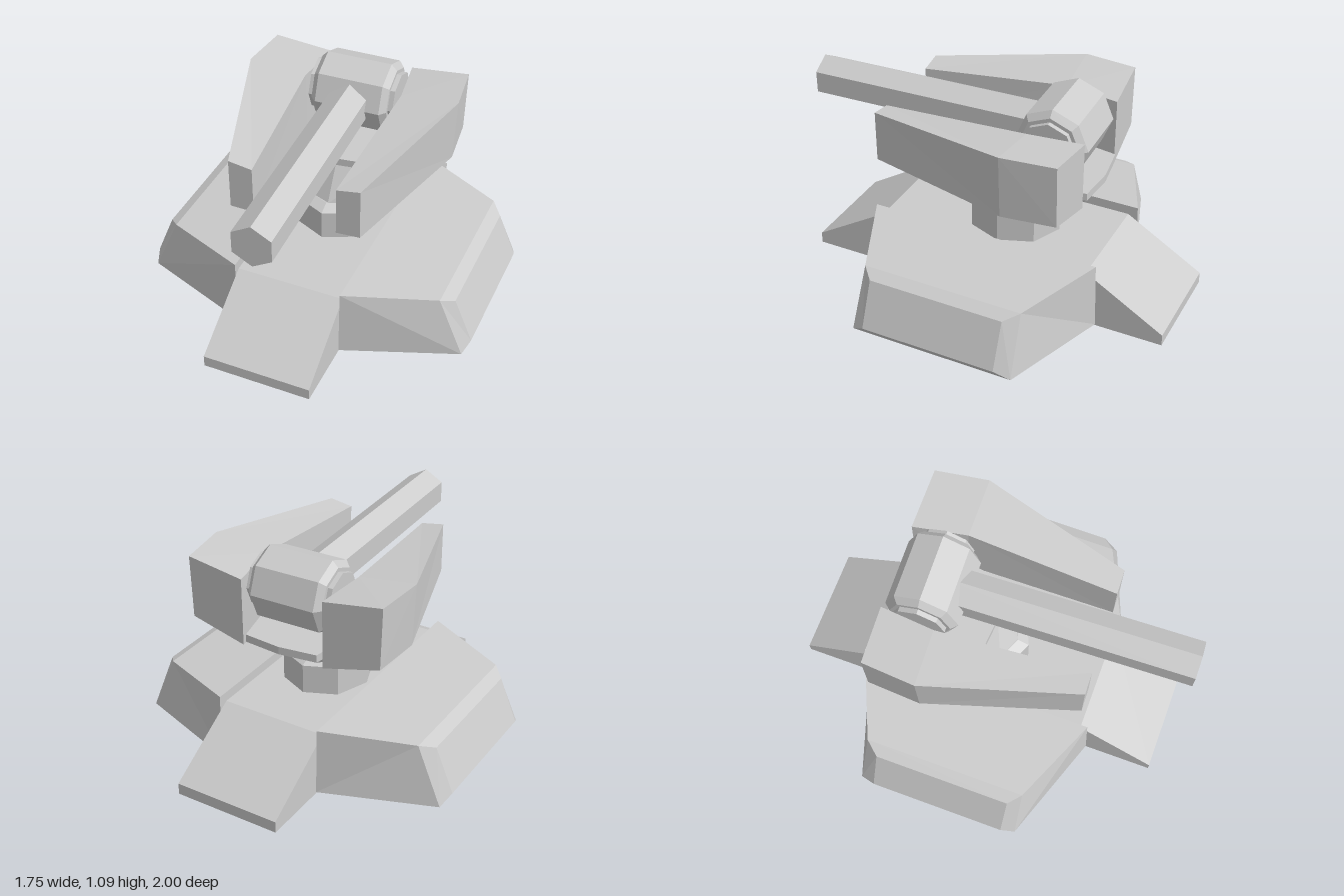
import * as THREE from 'three';

const material = new THREE.MeshStandardMaterial({ color: 0xcccccc, flatShading: true });

function part(name, geometry, parent) {
  const mesh = new THREE.Mesh(geometry, material);
  mesh.name = name;
  parent.add(mesh);
  return mesh;
}

// Closed faceted solid through rings of points (counterclockwise seen from the last ring)
function loft(rings) {
  const pos = [];
  const tri = (...pts) => pts.forEach((p) => pos.push(...p));
  const n = rings[0].length;
  for (let r = 0; r < rings.length - 1; r++) {
    const a = rings[r], b = rings[r + 1];
    for (let i = 0; i < n; i++) {
      const j = (i + 1) % n;
      tri(a[i], a[j], b[j]);
      tri(a[i], b[j], b[i]);
    }
  }
  const first = rings[0], last = rings[rings.length - 1];
  for (let i = 1; i < n - 1; i++) {
    tri(first[0], first[i + 1], first[i]);
    tri(last[0], last[i], last[i + 1]);
  }
  const g = new THREE.BufferGeometry();
  g.setAttribute('position', new THREE.Float32BufferAttribute(pos, 3));
  g.computeVertexNormals();
  return g;
}

// Eight-sided level ring; dx and dz place the diagonal corners
function octagon(y, rx, zc, rz, dx = 0.71, dz = 0.71) {
  const corners = [[1, 0], [dx, -dz], [0, -1], [-dx, -dz], [-1, 0], [-dx, dz], [0, 1], [dx, dz]];
  return corners.map(([x, z]) => [x * rx, y, zc + z * rz]);
}

function mirrorPair(name, geometry, parent) {
  part('left' + name, geometry, parent);
  part('right' + name, geometry, parent).scale.x = -1;
}

export function createModel() {
  const model = new THREE.Group();
  model.name = 'turret';

  // Base: central slab with a ramp at each end
  const profile = new THREE.Shape([
    [-1, 0], [0.95, 0], [0.95, 0.06], [0.55, 0.305], [-0.59, 0.305], [-1, 0.06],
  ].map(([z, y]) => new THREE.Vector2(z, y)));
  const ramp = new THREE.ExtrudeGeometry(profile, { depth: 0.56, bevelEnabled: false });
  ramp.rotateY(-Math.PI / 2).translate(0.28, 0, 0);
  part('baseRamp', ramp, model);

  // Base: bevelled side pods, from the inner wall outwards
  const podRing = (xb, yb, backB, frontB, xt, yt, backT, frontT) =>
    [[xb, yb, backB], [xt, yt, backT], [xt, yt, frontT], [xb, yb, frontB]];
  mirrorPair('BasePod', loft([
    podRing(0.28, 0.005, -0.65, 0.6, 0.28, 0.355, -0.64, 0.585),
    podRing(0.85, 0.02, -0.46, 0.4, 0.72, 0.32, -0.45, 0.39),
    podRing(0.875, 0.06, -0.38, 0.33, 0.78, 0.29, -0.38, 0.33),
  ]), model);

  // Swivel column with a bevelled top
  part('swivelColumn', loft([
    octagon(0.305, 0.225, -0.08, 0.245),
    octagon(0.46, 0.225, -0.08, 0.245),
    octagon(0.485, 0.185, -0.085, 0.19),
  ]), model);

  // Head, turned slightly to its left
  const head = new THREE.Group();
  head.name = 'head';
  head.rotation.y = 0.035;
  head.position.x = 0.004;
  model.add(head);

  // Neck leaning back to the yoke floor
  part('neck', loft([
    octagon(0.48, 0.185, -0.085, 0.19),
    octagon(0.65, 0.245, -0.28, 0.275, 0.8, 0.92),
    octagon(0.69, 0.245, -0.28, 0.275, 0.8, 0.92),
  ]), head);

  // Yoke arms, from back to front
  mirrorPair('Arm', loft([
    [[0.22, 0.62, -0.52], [0.515, 0.69, -0.505], [0.525, 1.015, -0.505], [0.22, 0.975, -0.52]],
    [[0.25, 0.62, -0.24], [0.54, 0.69, -0.23], [0.555, 1.02, -0.23], [0.257, 0.985, -0.24]],
    [[0.21, 0.685, 0.53], [0.33, 0.69, 0.53], [0.33, 0.955, 0.53], [0.21, 0.935, 0.53]],
  ]), head);

  // Pivot drum with bevelled ends and narrower hubs
  const drumProfile = [
    [0, -0.225], [0.135, -0.225], [0.135, -0.2], [0.155, -0.2], [0.187, -0.17],
    [0.187, 0.17], [0.155, 0.2], [0.135, 0.2], [0.135, 0.225], [0, 0.225],
  ].map(([r, h]) => new THREE.Vector2(r, h));
  const drum = new THREE.LatheGeometry(drumProfile, 8);
  drum.rotateZ(Math.PI / 2).translate(0, 0.905, -0.335);
  part('pivotDrum', drum, head);

  // Six-sided barrel
  const barrel = new THREE.CylinderGeometry(0.112, 0.112, 1.33, 6);
  barrel.rotateX(Math.PI / 2).translate(0, 0.905, 0.335);
  part('barrel', barrel, head);

  return model;
}
